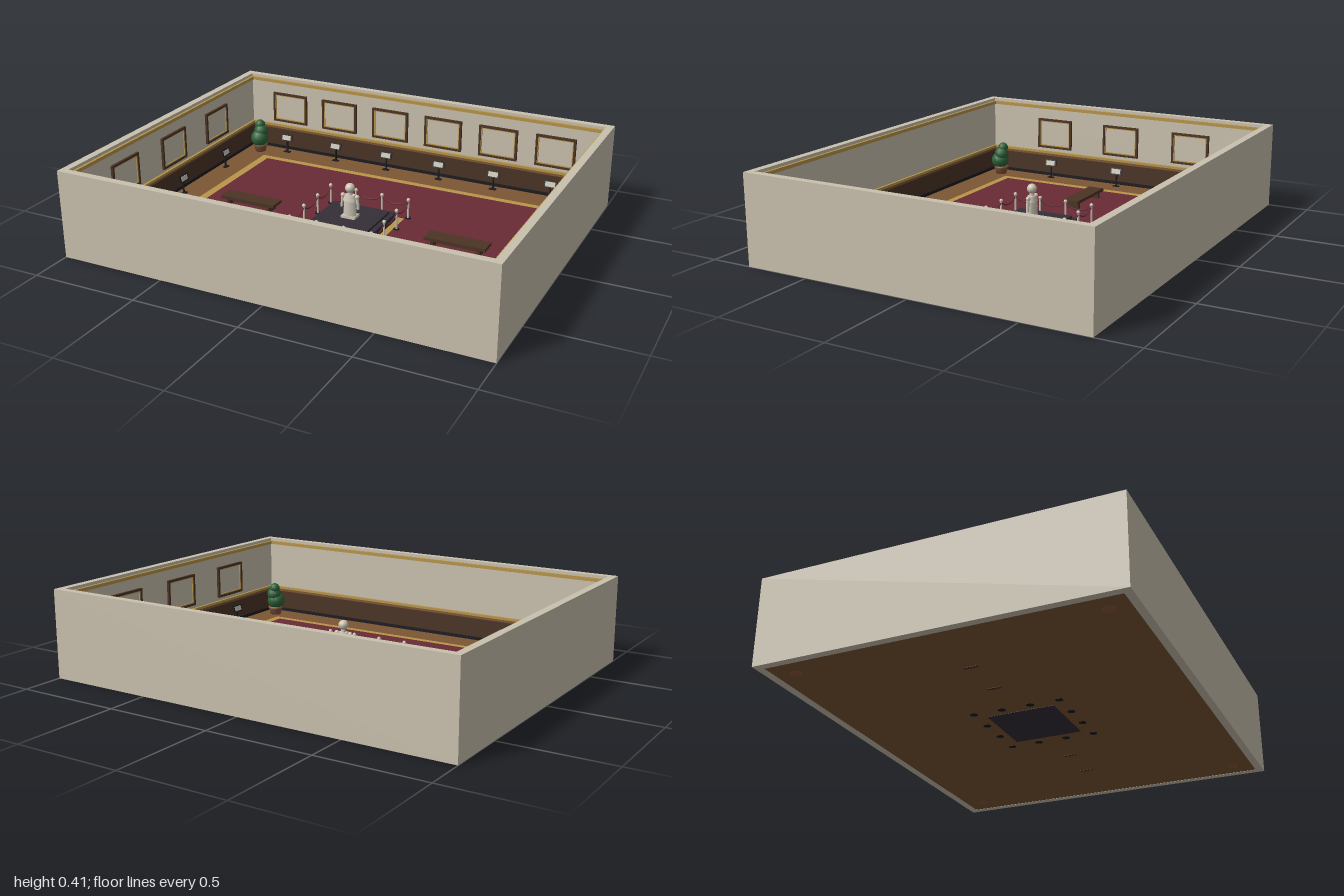
import * as THREE from 'three';

export function createModel() {
  const mat = (name, color) => {
    const m = new THREE.MeshStandardMaterial({ color });
    m.name = name;
    return m;
  };
  const plaster = mat('plaster', 0xcac1ae);
  const floorWood = mat('floor wood', 0x7b5634);
  const darkWood = mat('dark wood', 0x4b3425);
  const gold = mat('gold', 0xb8954a);
  const red = mat('red carpet', 0x6a2b35);
  const charcoal = mat('charcoal stone', 0x352e38);
  const black = mat('black metal', 0x1c1b20);
  const stone = mat('pale stone', 0xcdc6b6);
  const green = mat('leaf green', 0x2c6238);
  const clay = mat('clay', 0x85543a);

  const room = new THREE.Group();
  room.name = 'galleryRoom';

  const add = (parent, name, geo, material, x = 0, y = 0, z = 0) => {
    const mesh = new THREE.Mesh(geo, material);
    mesh.name = name;
    mesh.position.set(x, y, z);
    parent.add(mesh);
    return mesh;
  };
  // Box given by its bottom height
  const box = (parent, name, material, w, h, d, x = 0, y = 0, z = 0) =>
    add(parent, name, new THREE.BoxGeometry(w, h, d), material, x, y + h / 2, z);
  const group = (parent, name, x, y, z, turn = 0) => {
    const g = new THREE.Group();
    g.name = name;
    g.position.set(x, y, z);
    g.rotation.y = turn;
    parent.add(g);
    return g;
  };
  const rect = (Type, hw, hh) => new Type([
    new THREE.Vector2(-hw, -hh), new THREE.Vector2(hw, -hh),
    new THREE.Vector2(hw, hh), new THREE.Vector2(-hw, hh)]);
  const frameGeo = (hw, hh, t, depth) => {
    const s = rect(THREE.Shape, hw, hh);
    s.holes.push(rect(THREE.Path, hw - t, hh - t));
    return new THREE.ExtrudeGeometry(s, { depth, bevelEnabled: false });
  };
  // Rectangular ring lying flat, from y up to y + h
  const ring = (name, material, hx, hz, t, y, h) =>
    add(room, name, frameGeo(hx, hz, t, h).rotateX(-Math.PI / 2), material, 0, y);

  // Shell and mouldings
  const IX = 0.965, IZ = 0.77;
  ring('walls', plaster, 1, 0.805, 0.035, 0, 0.41);
  box(room, 'floor', floorWood, IX * 2, 0.011, IZ * 2, 0, 0.001);
  ring('wainscot', darkWood, IX, IZ, 0.006, 0.012, 0.113);
  ring('baseboard', black, IX, IZ, 0.009, 0.012, 0.016);
  ring('railBase', floorWood, IX, IZ, 0.009, 0.122, 0.013);
  ring('chairRail', gold, IX, IZ, 0.012, 0.135, 0.012);
  ring('crownMoulding', gold, IX, IZ, 0.012, 0.38, 0.016);

  // Carpet with gold borders
  box(room, 'carpetBorder', gold, 1.64, 0.003, 1.24, 0, 0.012);
  box(room, 'carpetField', red, 1.555, 0.003, 1.165, 0, 0.0135);
  box(room, 'plinthRug', gold, 0.38, 0.003, 0.38, 0, 0.015);

  // Framed picture with its label stand, facing +z from the wall plane
  const exhibit = (x, z, turn) => {
    const g = group(room, 'exhibit', x, 0, z, turn);
    add(g, 'pictureFrame', frameGeo(0.1, 0.08, 0.011, 0.012), darkWood, 0, 0.245, 0);
    add(g, 'frameLiner', frameGeo(0.089, 0.069, 0.005, 0.009), gold, 0, 0.245, 0);
    box(g, 'canvas', plaster, 0.168, 0.128, 0.004, 0, 0.181, 0.002);
    const s = group(g, 'labelStand', 0, 0, 0.05);
    box(s, 'standFoot', black, 0.034, 0.004, 0.02, 0, 0.012);
    box(s, 'standPost', black, 0.007, 0.08, 0.007, 0, 0.012, -0.003);
    const panel = group(s, 'labelPanel', 0, 0.094, 0.002);
    panel.rotation.x = -0.25;
    box(panel, 'labelBacking', black, 0.066, 0.036, 0.006, 0, -0.018);
    box(panel, 'label', stone, 0.05, 0.025, 0.002, 0, -0.0125, 0.0035);
  };
  for (let i = 0; i < 6; i++) exhibit(-0.732 + i * 0.293, -IZ, 0);
  for (const z of [-0.39, 0, 0.39]) {
    exhibit(-IX, z, Math.PI / 2);
    exhibit(IX, z, -Math.PI / 2);
  }

  // Corner plants: clay pot and three clumps of leaves
  const potGeo = new THREE.LatheGeometry([[0, 0], [0.026, 0], [0.035, 0.044],
    [0.039, 0.044], [0.039, 0.054], [0.032, 0.054], [0, 0.05]]
    .map(([r, y]) => new THREE.Vector2(r, y)), 14);
  for (const x of [-0.875, 0.875]) for (const z of [-0.68, 0.68]) {
    const p = group(room, 'pottedPlant', x, 0, z);
    add(p, 'pot', potGeo, clay);
    for (const [r, y, dx, dz] of [[0.047, 0.086, 0, 0.006], [0.038, 0.123, 0.004, -0.005], [0.027, 0.157, -0.004, -0.01]])
      add(p, 'foliage', new THREE.SphereGeometry(r, 12, 8), green, dx, y, dz);
  }

  // Benches
  for (const x of [-0.53, 0.53]) {
    const b = group(room, 'bench', x, 0, 0);
    box(b, 'benchSeat', darkWood, 0.29, 0.014, 0.08, 0, 0.048);
    for (const s of [-1, 1]) box(b, 'benchLeg', darkWood, 0.016, 0.048, 0.064, s * 0.11);
    box(b, 'benchStretcher', darkWood, 0.21, 0.008, 0.012, 0, 0.026);
  }

  // Central plinth and statue
  box(room, 'plinthBase', charcoal, 0.32, 0.055, 0.32);
  box(room, 'plinthTop', charcoal, 0.275, 0.012, 0.275, 0, 0.055);
  const statue = group(room, 'statue', 0, 0.067, 0);
  box(statue, 'statueBase', stone, 0.07, 0.012, 0.052);
  add(statue, 'robe', new THREE.CylinderGeometry(0.03, 0.034, 0.075, 8), stone, 0, 0.048, 0).scale.z = 0.75;
  add(statue, 'chest', new THREE.CylinderGeometry(0.026, 0.036, 0.028, 8), stone, 0, 0.098, 0).scale.z = 0.72;
  for (const s of [-1, 1]) {
    add(statue, 'arm', new THREE.CylinderGeometry(0.008, 0.007, 0.062, 8), stone, s * 0.039, 0.077, 0).rotation.z = s * 0.1;
    add(statue, 'shoulder', new THREE.SphereGeometry(0.011, 10, 8), stone, s * 0.036, 0.105, 0);
  }
  add(statue, 'neck', new THREE.CylinderGeometry(0.01, 0.012, 0.018, 10), stone, 0, 0.119, 0);
  add(statue, 'head', new THREE.SphereGeometry(0.023, 14, 10), stone, 0, 0.145, 0);

  // Rope barrier: three spans on each of four sides
  const R = 0.204, step = R * 2 / 3;
  const ropeGeo = new THREE.TubeGeometry(new THREE.QuadraticBezierCurve3(
    new THREE.Vector3(0, 0.1, 0), new THREE.Vector3(step / 2, 0.055, 0),
    new THREE.Vector3(step, 0.1, 0)), 10, 0.0035, 6);
  for (let side = 0; side < 4; side++) {
    const g = group(room, 'barrierSide', 0, 0, 0, side * Math.PI / 2);
    for (let i = 0; i < 3; i++) {
      const x = -R + i * step;
      add(g, 'postFoot', new THREE.CylinderGeometry(0.014, 0.018, 0.02, 12), black, x, 0.01, R);
      add(g, 'post', new THREE.CylinderGeometry(0.005, 0.005, 0.088, 8), stone, x, 0.064, R);
      add(g, 'postCap', new THREE.SphereGeometry(0.009, 10, 8), stone, x, 0.111, R);
      add(g, 'rope', ropeGeo, red, x, 0, R);
    }
  }
  return room;
}
